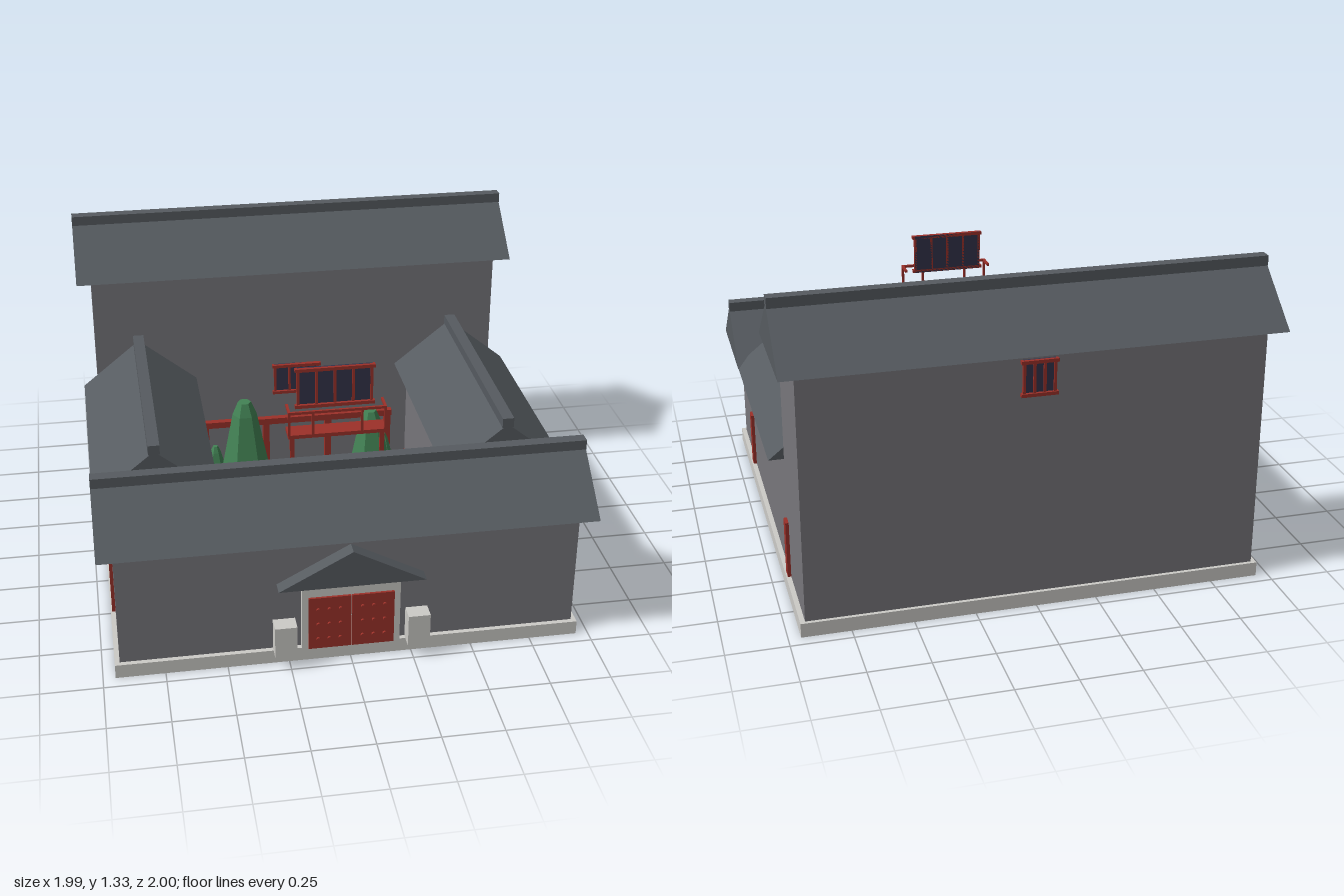
import * as THREE from 'three';

const paint = (name, color) => {
  const m = new THREE.MeshStandardMaterial({ color });
  m.name = name;
  return m;
};

export function createModel() {
  const wall = paint('greyBrick', 0x77767b);
  const tile = paint('roofTile', 0x565b60);
  const stone = paint('paleStone', 0xcccbc7);
  const red = paint('redLacquer', 0x9c3129);
  const glass = paint('darkPane', 0x33334a);
  const leaf = paint('foliage', 0x438355);
  const bark = paint('bark', 0x5a3d28);
  leaf.flatShading = true;

  const model = new THREE.Group();
  model.name = 'courtyardHouse';

  const add = (parent, name, geo, mat, x = 0, y = 0, z = 0) => {
    const m = new THREE.Mesh(geo, mat);
    m.name = name;
    m.position.set(x, y, z);
    parent.add(m);
    return m;
  };
  // Box given by its minimum and maximum corners
  const box = (parent, name, mat, x0, x1, y0, y1, z0, z1) =>
    add(parent, name, new THREE.BoxGeometry(x1 - x0, y1 - y0, z1 - z0), mat,
      (x0 + x1) / 2, (y0 + y1) / 2, (z0 + z1) / 2);
  const group = (name, parent = model) => {
    const g = new THREE.Group();
    g.name = name;
    parent.add(g);
    return g;
  };
  // Triangular prism running along z, centred, with its base on y = 0
  const prism = (half, height, length) => {
    const s = new THREE.Shape([
      new THREE.Vector2(-half, 0), new THREE.Vector2(half, 0), new THREE.Vector2(0, height)]);
    return new THREE.ExtrudeGeometry(s, { depth: length, bevelEnabled: false })
      .translate(0, 0, -length / 2);
  };
  // Gable roof with a ridge beam, running along z before it is turned
  const roof = (name, length, x, y, z, turn) => {
    const g = group(name);
    add(g, 'slopes', prism(0.26, 0.21, length), tile);
    box(g, 'ridge', tile, -0.024, 0.024, 0.195, 0.237, -length / 2, length / 2);
    g.position.set(x, y, z);
    g.rotation.y = turn;
  };
  // Lattice window facing +z, its back on z = 0
  const latticeWindow = (name, w, h, bars, x, y, z, turn = 0) => {
    const g = group(name);
    const t = 0.014;
    box(g, 'pane', glass, -w / 2 + 0.01, w / 2 - 0.01, -h / 2, h / 2, 0, 0.007);
    for (const s of [-1, 1])
      add(g, 'rail', new THREE.BoxGeometry(w, t, 0.02), red, 0, s * (h - t) / 2, 0.01);
    for (let i = 0; i < bars; i++) {
      const bx = (i / (bars - 1) - 0.5) * (w - 0.026);
      add(g, 'bar', new THREE.BoxGeometry(0.011, h - 2 * t, 0.014), red, bx, 0, 0.007);
    }
    g.position.set(x, y, z);
    g.rotation.y = turn;
    return g;
  };

  // Plinth and the four halls
  box(model, 'plinth', stone, -0.95, 0.95, 0, 0.06, -0.95, 0.945);
  box(model, 'frontHall', wall, -0.93, 0.93, 0.06, 0.57, 0.52, 0.925);
  box(model, 'backHall', wall, -0.93, 0.93, 0.06, 1.09, -0.935, -0.53);
  roof('frontRoof', 1.99, 0, 0.568, 0.725, Math.PI / 2);
  roof('backRoof', 1.99, 0, 1.092, -0.735, Math.PI / 2);

  for (const s of [-1, 1]) {
    const [a, b] = s > 0 ? [0.535, 0.93] : [-0.93, -0.535];
    box(model, 'sideWing', wall, a, b, 0.06, 0.57, -0.53, 0.52);
    roof('sideRoof', 1.05, s * 0.733, 0.568, -0.005, 0);
    latticeWindow('sideWindow', 0.144, 0.148, 4, s * 0.93, 0.465, 0, s * Math.PI / 2);
    // Pillars on the outer side walls
    for (const z of [-0.552, 0.548])
      add(model, 'pillar', new THREE.BoxGeometry(0.024, 0.245, 0.05), red, s * 0.932, 0.183, z);
    // Doors facing the courtyard
    add(model, 'wingDoor', new THREE.BoxGeometry(0.016, 0.25, 0.305), red, s * 0.456, 0.185, -0.008);
  }
  latticeWindow('backWindow', 0.148, 0.148, 4, 0, 0.987, -0.935, Math.PI);
  latticeWindow('courtyardWindow', 0.23, 0.15, 4, 0, 0.535, -0.53);

  // Colonnade before the back hall
  const porch = group('colonnade');
  box(porch, 'lintel', red, -0.46, 0.46, 0.305, 0.335, -0.53, -0.5);
  for (const x of [-0.44, -0.15, 0.15, 0.44])
    box(porch, 'post', red, x - 0.015, x + 0.015, 0.06, 0.305, -0.53, -0.5);

  // Gate with studded leaves, canopy and guardian blocks
  const gate = group('gate');
  box(gate, 'surround', stone, -0.2, 0.2, 0.06, 0.342, 0.92, 0.95);
  for (const s of [-1, 1]) {
    add(gate, 'doorLeaf', new THREE.BoxGeometry(0.172, 0.242, 0.012), red, s * 0.088, 0.183, 0.954);
    for (const x of [0.045, 0.09, 0.135])
      for (const y of [0.11, 0.18, 0.25])
        add(gate, 'stud', new THREE.CylinderGeometry(0.008, 0.008, 0.01, 8).rotateX(Math.PI / 2),
          red, s * x, y, 0.964);
    add(gate, 'gateStone', new THREE.BoxGeometry(0.09, 0.14, 0.068), stone, s * 0.27, 0.132, 0.966);
  }
  add(gate, 'canopy', prism(0.297, 0.16, 0.065), tile, 0, 0.365, 0.953);

  // Raised window and balcony
  latticeWindow('upperWindow', 0.325, 0.175, 5, 0, 1.024, 0.525);
  const balcony = group('balcony');
  box(balcony, 'deck', red, -0.2, 0.2, 0.834, 0.85, 0.525, 0.605);
  box(balcony, 'handrail', red, -0.2, 0.2, 0.942, 0.953, 0.595, 0.605);
  for (const x of [-0.195, -0.1, 0.1, 0.195])
    box(balcony, 'baluster', red, x - 0.005, x + 0.005, 0.85, 0.942, 0.595, 0.605);
  for (const s of [-1, 1]) {
    add(balcony, 'sideRail', new THREE.BoxGeometry(0.01, 0.011, 0.07), red, s * 0.195, 0.9475, 0.56);
    add(balcony, 'leg', new THREE.BoxGeometry(0.018, 0.096, 0.014), red, s * 0.183, 0.786, 0.595);
  }

  // Screen wall behind the gate
  box(model, 'screenWall', wall, -0.2, 0.2, 0.06, 0.36, 0.365, 0.395);
  box(model, 'screenCap', tile, -0.222, 0.222, 0.36, 0.395, 0.35, 0.41);

  // Six-sided tapering foliage, corners along x
  const cone = (parent, name, r0, r1, y0, y1) =>
    add(parent, name, new THREE.CylinderGeometry(r1, r0, y1 - y0, 6).rotateY(Math.PI / 2),
      leaf, 0, (y0 + y1) / 2, 0);
  for (const [x, z, s] of [[-0.285, -0.21, 1], [0.28, -0.13, 0.91]]) {
    const t = group('tree');
    add(t, 'trunk', new THREE.CylinderGeometry(0.025, 0.03, 0.16, 6), bark, 0, 0.08, 0);
    cone(t, 'crown', 0.12, 0.055, 0.14, 0.47);
    cone(t, 'crownTop', 0.055, 0.03, 0.47, 0.53);
    t.position.set(x, 0.06, z);
    t.scale.setScalar(s);
  }
  for (const [x, z] of [[-0.405, -0.412], [0.4, -0.412], [-0.405, 0.142]]) {
    const p = group('pottedShrub');
    box(p, 'pot', stone, -0.048, 0.048, 0, 0.07, -0.048, 0.048);
    cone(p, 'shrub', 0.05, 0.025, 0.07, 0.17);
    cone(p, 'shrubTop', 0.025, 0.012, 0.17, 0.2);
    p.position.set(x, 0.06, z);
  }

  return model;
}
